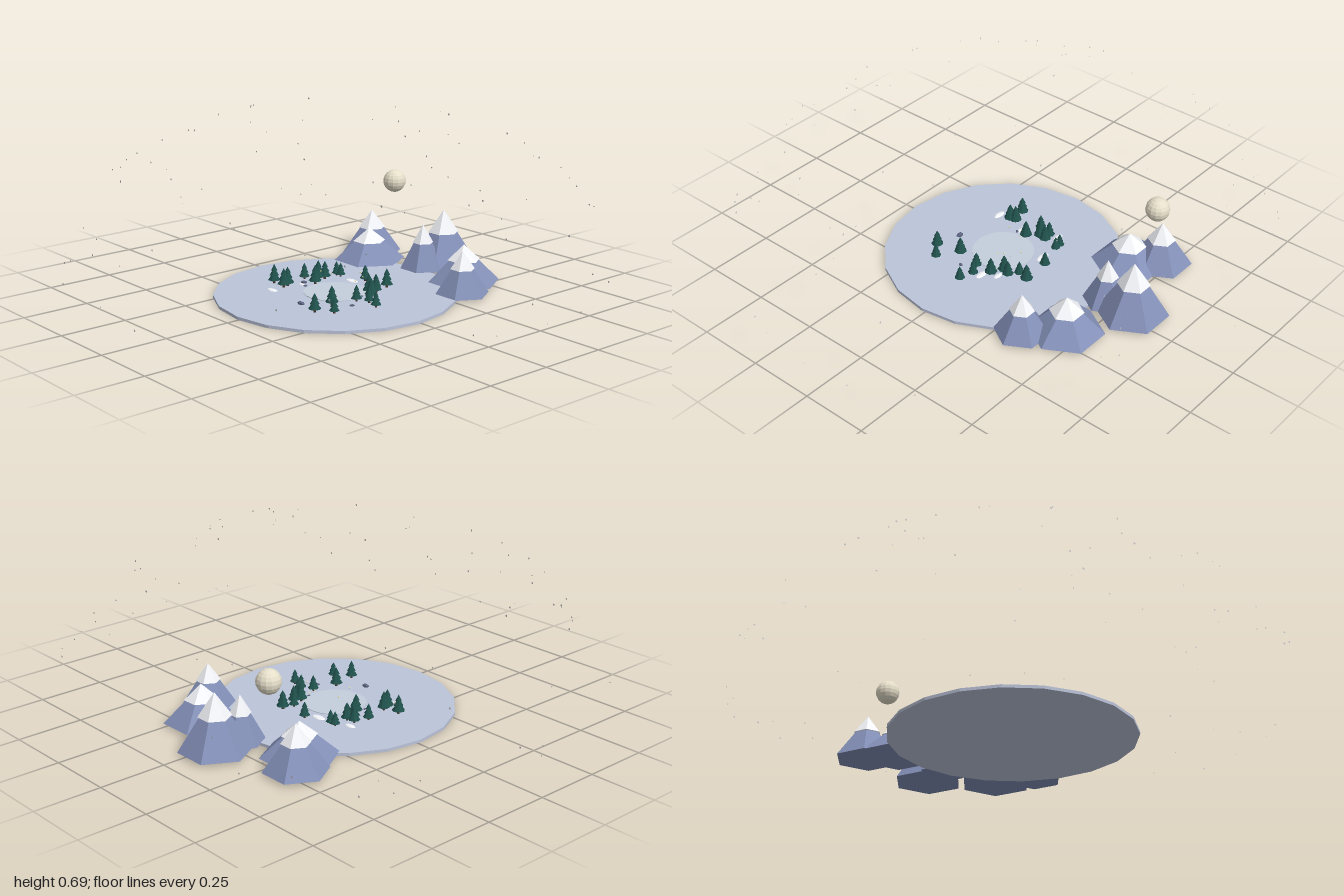
import * as THREE from 'three';
import { mergeGeometries } from 'three/addons/utils/BufferGeometryUtils.js';

const mat = (color, extra = {}) => new THREE.MeshStandardMaterial({ color, flatShading: true, ...extra });

const GROUND = 0.011;
const CX = -0.006, CZ = 0.013; // centre of the island

// Small seeded generator
function seeded(seed) {
  let s = seed;
  return () => {
    s = (s * 16807) % 2147483647;
    return s / 2147483647;
  };
}

export function createModel() {
  const root = new THREE.Group();

  const add = (parent, name, geometry, material, x, y, z) => {
    const mesh = new THREE.Mesh(geometry, material);
    mesh.name = name;
    mesh.position.set(x, y, z);
    parent.add(mesh);
    return mesh;
  };
  const group = (name) => {
    const g = new THREE.Group();
    g.name = name;
    root.add(g);
    return g;
  };

  const snow = mat(0xf2f4f8);
  const rock = mat(0x8490b8);
  const leaf = mat(0x1f4f4a);
  const bark = mat(0x4a3528);
  const stone = mat(0x5c6480);

  // Snowy ground and frozen pond
  add(root, 'ground', new THREE.CylinderGeometry(0.44, 0.44, GROUND, 20), mat(0xbcc4da), CX, GROUND / 2, CZ);
  add(root, 'pond', new THREE.CylinderGeometry(0.115, 0.115, 0.002, 24), mat(0xc4cfdc), CX, GROUND + 0.001, CZ);

  // Six-sided mountains with snow caps: x, z, radius, peak height
  const mountains = group('mountains');
  const capShare = 0.42;
  [
    [-0.337, -0.46, 0.116, 0.176],
    [-0.257, -0.375, 0.139, 0.134],
    [-0.033, -0.557, 0.131, 0.219],
    [-0.031, -0.447, 0.088, 0.18],
    [0.193, -0.442, 0.136, 0.149],
    [0.298, -0.33, 0.1, 0.166],
  ].forEach(([x, z, r, peak]) => {
    const m = new THREE.Group();
    m.name = 'mountain';
    m.position.set(x, 0.009, z);
    mountains.add(m);
    const h = peak - 0.012;
    const capH = h * capShare;
    add(m, 'slope', new THREE.ConeGeometry(r, h, 6, 1, false, Math.PI / 6), rock, 0, h / 2, 0);
    add(m, 'snowCap', new THREE.ConeGeometry(r * capShare * 1.08, capH, 6, 1, false, Math.PI / 6),
      snow, 0, h - capH / 2 + 0.003, 0);
  });

  // Fir trees: x, z, scale
  const trees = group('trees');
  [
    [-0.037, -0.16, 0.85], [0.075, -0.166, 1], [0.064, -0.123, 0.8], [0.096, -0.096, 0.9],
    [0.086, -0.07, 1], [0.128, -0.043, 1], [0.171, 0.005, 0.8], [0.225, 0.021, 0.8],
    [0.128, 0.027, 0.85], [0.107, 0.123, 1], [0.182, 0.176, 0.8], [0.128, 0.219, 0.95],
    [-0.163, -0.128, 0.75], [-0.139, -0.128, 0.75], [-0.187, -0.059, 0.9], [-0.155, -0.064, 0.95],
    [-0.16, -0.037, 1], [-0.203, -0.005, 0.85], [-0.128, 0.005, 1], [-0.235, 0.112, 1],
    [-0.176, 0.096, 1], [-0.171, 0.118, 1],
  ].forEach(([x, z, s], i) => {
    const t = new THREE.Group();
    t.name = 'tree';
    t.position.set(x, GROUND, z);
    t.rotation.y = i * 1.3;
    t.scale.setScalar(s);
    trees.add(t);
    add(t, 'trunk', new THREE.CylinderGeometry(0.004, 0.005, 0.018, 6), bark, 0, 0.009, 0);
    [[0.024, 0.034, 0.03], [0.018, 0.03, 0.046], [0.012, 0.024, 0.061]].forEach(([r, h, y]) =>
      add(t, 'branches', new THREE.ConeGeometry(r, h, 7), leaf, 0, y, 0));
  });

  // Flat snow drifts: x, z, radius
  const drifts = group('snowDrifts');
  [[-0.07, -0.123, 0.03], [-0.2, -0.09, 0.024], [-0.17, 0.172, 0.026], [0.155, -0.02, 0.026],
    [-0.15, 0.045, 0.02], [0.12, -0.07, 0.02]].forEach(([x, z, r]) => {
    add(drifts, 'snowDrift', new THREE.SphereGeometry(r, 10, 6), snow, x, GROUND, z).scale.set(1, 0.16, 0.5);
  });

  // Loose stones: x, z, radius
  const stones = group('stones');
  [[0.027, 0.198, 0.016], [-0.165, 0.028, 0.013], [-0.13, 0.05, 0.008], [0.16, 0.075, 0.01],
    [0.1, -0.02, 0.008]].forEach(([x, z, r], i) => {
    const s = add(stones, 'stone', new THREE.DodecahedronGeometry(r), stone, x, GROUND + r * 0.2, z);
    s.scale.set(1, 0.5, 0.65);
    s.rotation.y = i * 0.4;
  });

  // Tiny lights floating above the pond
  const lights = group('floatingLights');
  [[0.016, 0.07, -0.09], [0.086, 0.078, -0.04], [-0.064, 0.06, -0.021], [-0.064, 0.08, 0.032],
    [0.048, 0.055, -0.037]].forEach(([x, y, z]) =>
    add(lights, 'floatingLight', new THREE.IcosahedronGeometry(0.003), mat(0xf4e6a0), x, y, z));

  // Moon
  add(root, 'moon', new THREE.SphereGeometry(0.044, 14, 10), mat(0xe6dfca), -0.245, 0.305, -0.495);

  // Dome of flat stars, all facing front
  const random = seeded(77);
  const starGeometries = [];
  for (let i = 0; i < 90; i++) {
    const anchored = i < 4; // the first four mark the rim of the dome
    const angle = anchored ? (i * Math.PI) / 2 : random() * Math.PI * 2;
    const rise = anchored ? 0.07 + 0.03 * i : 0.03 + 0.95 * random();
    const reach = Math.sqrt(1 - rise * rise);
    const size = 0.004 + 0.005 * random();
    const star = new THREE.CircleGeometry(size / 2, 5);
    star.translate(Math.cos(angle) * reach, 0.1 + 0.6 * rise, Math.sin(angle) * reach);
    starGeometries.push(star);
  }
  add(root, 'stars', mergeGeometries(starGeometries), mat(0xffffff, { side: THREE.DoubleSide }), 0, 0, 0);

  return root;
}
